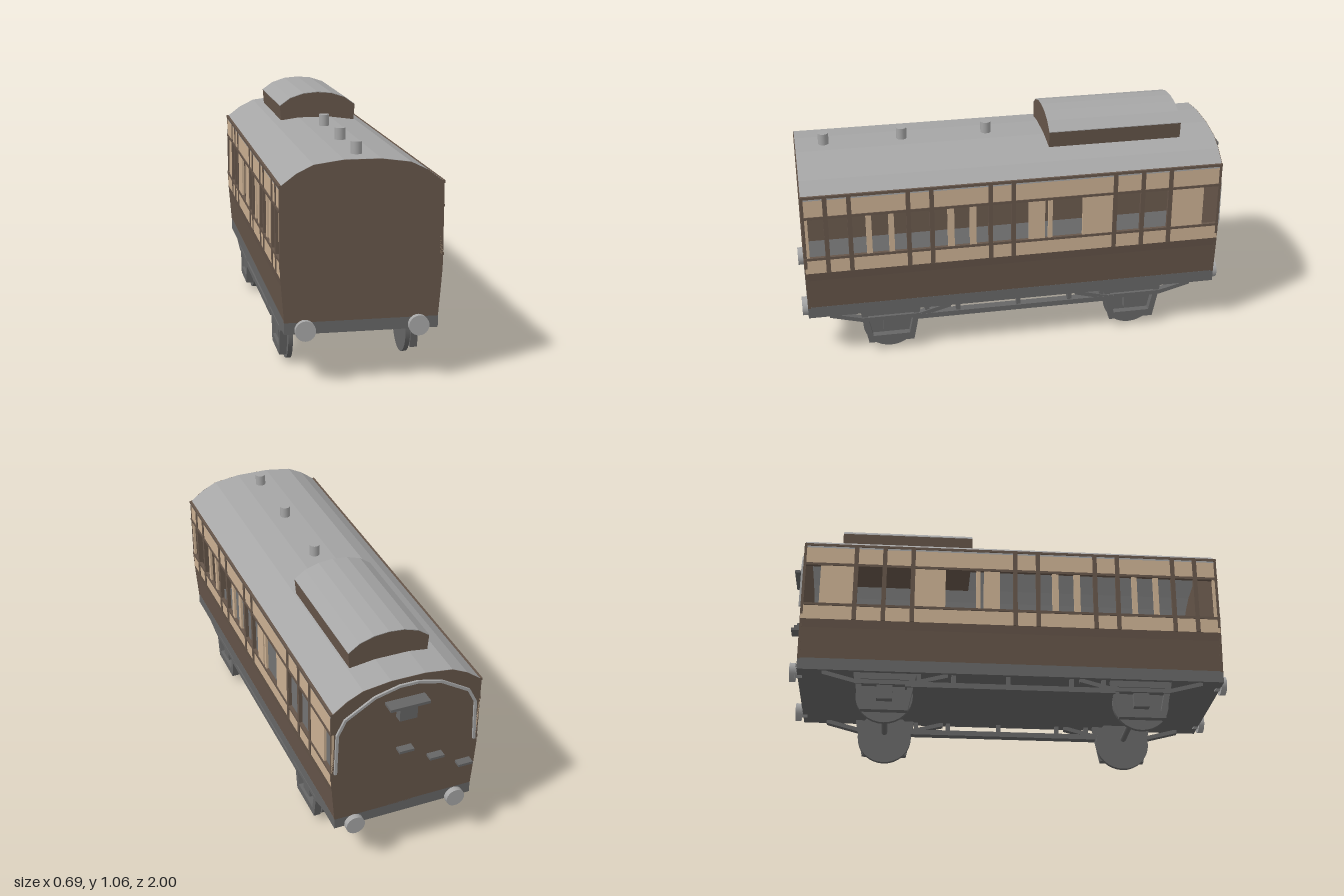
import * as THREE from 'three';

const mat = (name, color) => {
  const m = new THREE.MeshStandardMaterial({ color });
  m.name = name;
  return m;
};

export function createModel() {
  const brown = mat('brown panelling', 0x66564a);
  const cream = mat('cream panelling', 0xcbb092);
  const darkGrey = mat('dark grey underframe', 0x666666);
  const lightGrey = mat('light grey roof', 0xa6a6a6);
  const model = new THREE.Group();
  const FRONT = 0.975, BACK = -0.94, LENGTH = FRONT - BACK, MID = (FRONT + BACK) / 2;

  const add = (name, geometry, material, x = 0, y = 0, z = 0) => {
    const mesh = new THREE.Mesh(geometry, material);
    mesh.name = name;
    mesh.position.set(x, y, z);
    model.add(mesh);
    return mesh;
  };
  // Box given by its limits on each axis
  const block = (name, material, [x0, x1], [y0, y1], [z0, z1]) =>
    add(name, new THREE.BoxGeometry(Math.abs(x1 - x0), y1 - y0, Math.abs(z1 - z0)), material,
      (x0 + x1) / 2, (y0 + y1) / 2, (z0 + z1) / 2);
  const shapeOf = (points) => new THREE.Shape(points.map(([x, y]) => new THREE.Vector2(x, y)));
  const extrude = (shape, depth) => new THREE.ExtrudeGeometry(shape, { depth, bevelEnabled: false });
  // Same extrusion for shapes drawn as (z, y), centred on x
  const extrudeSide = (shape, depth) => extrude(shape, depth).translate(0, 0, -depth / 2).rotateY(-Math.PI / 2);
  // Strip following an open line, with a thickness downwards
  const strip = (points, t) => shapeOf([...points, ...points.map(([x, y]) => [x, y - t]).reverse()]);
  const flip = (points) => points.map(([x, y]) => [-x, y]).reverse();

  // Cross-sections, from left (+x) to right
  const halfRoof = [[0.34, 0.835], [0.27, 0.888], [0.2, 0.922], [0.077, 0.939]];
  const roofLine = [...halfRoof, ...flip(halfRoof)];
  const halfWall = [[0.323, 0.27], [0.335, 0.42], [0.34, 0.5]];
  const endOutline = [...halfWall, ...roofLine, ...flip(halfWall)];

  // End walls and roof
  const endShape = shapeOf(endOutline);
  add('frontEnd', extrude(endShape, 0.012), brown, 0, 0, FRONT - 0.012);
  add('backEnd', extrude(endShape, 0.012), brown, 0, 0, BACK);
  add('roof', extrude(strip(roofLine, 0.014), LENGTH - 0.004), lightGrey, 0, 0.001, BACK + 0.002);

  // Underframe, which is also the floor
  block('underframe', darkGrey, [-0.323, 0.323], [0.22, 0.275], [BACK, FRONT]);

  // Side walls
  const posts = [0.87, 0.765, 0.505, 0.4, 0.135, 0.03, -0.44, -0.57, -0.7];
  const panels = [[0.975, 0.95], [0.695, 0.67], [0.595, 0.57], [0.33, 0.3], [0.23, 0.2],
    [-0.04, -0.115], [-0.13, -0.15], [-0.29, -0.44], [-0.7, -0.86], [-0.93, -0.94]];
  for (const s of [1, -1]) {
    const wall = [s * 0.328, s * 0.339], trim = [s * 0.327, s * 0.343];
    const lower = [[0.322, 0.27], [0.334, 0.42], [0.339, 0.46], [0.328, 0.46], [0.312, 0.27]];
    add('lowerSide', extrude(shapeOf(lower.map(([x, y]) => [s * x, y])), LENGTH - 0.004), brown, 0, 0, BACK + 0.002);
    block('waistPanel', cream, wall, [0.46, 0.535], [BACK + 0.002, FRONT - 0.002]);
    block('upperPanel', cream, wall, [0.735, 0.832], [BACK + 0.002, FRONT - 0.002]);
    for (const [a, b] of panels) block('windowPanel', cream, wall, [0.535, 0.735], [a, b]);
    for (const y of [0.533, 0.737, 0.836]) block('sideRail', brown, trim, [y - 0.006, y + 0.006], [BACK, FRONT]);
    for (const z of posts) block('sidePost', brown, trim, [0.46, 0.835], [z - 0.01, z + 0.01]);
  }

  // Raised lookout on the roof
  const lookoutTop = [[0.198, 0.997], [0.148, 1.033], [0.083, 1.054], [0.015, 1.06],
    [-0.053, 1.054], [-0.118, 1.033], [-0.168, 0.997]];
  add('lookout', extrude(shapeOf([[0.19, 0.9], ...lookoutTop, [-0.16, 0.9]]), 0.615), brown, 0, 0, -0.775);
  add('lookoutRoof', extrude(strip(lookoutTop, 0.003), 0.615), lightGrey, 0, 0.003, -0.775);

  // Roof vents
  for (const z of [0.845, 0.49, 0.1])
    add('roofVent', new THREE.CylinderGeometry(0.024, 0.024, 0.064, 16), lightGrey, 0, 0.96, z);

  // Buffers
  for (const x of [-0.238, 0.238])
    for (const [head, stem] of [[0.987, 0.972], [-0.962, -0.94]]) {
      add('bufferHead', new THREE.CylinderGeometry(0.043, 0.043, 0.026, 24).rotateX(Math.PI / 2), lightGrey, x, 0.238, head);
      add('bufferStem', new THREE.CylinderGeometry(0.025, 0.025, 0.04, 12).rotateX(Math.PI / 2), lightGrey, x, 0.238, stem);
    }

  // Back end: shelf, bracket, steps and curved handrail
  block('backShelf', darkGrey, [-0.077, 0.103], [0.827, 0.84], [BACK, -1]);
  block('shelfBracket', darkGrey, [-0.03, 0.05], [0.75, 0.815], [BACK, -0.977]);
  [[0.01, 0.58], [-0.135, 0.5], [-0.275, 0.42]].forEach(([x, y]) =>
    block('backStep', darkGrey, [x - 0.034, x + 0.034], [y - 0.006, y + 0.006], [BACK, -0.977]));
  const halfRail = [[0.322, 0.53], [0.315, 0.73], [0.28, 0.8], [0.15, 0.88], [0.04, 0.908]];
  const rail = [...halfRail, ...flip(halfRail)];
  for (let i = 1; i < rail.length; i++) {
    const [ax, ay] = rail[i - 1], [bx, by] = rail[i];
    add('handrail', new THREE.BoxGeometry(Math.hypot(bx - ax, by - ay) + 0.004, 0.012, 0.012), lightGrey,
      (ax + bx) / 2, (ay + by) / 2, BACK - 0.004).rotation.z = Math.atan2(by - ay, bx - ax);
  }

  // Wheels, axles, axle guards and springs
  const guardShape = shapeOf([[-0.14, 0.22], [-0.105, 0.045], [0.105, 0.045], [0.14, 0.22]]);
  guardShape.holes.push(new THREE.Path([[-0.108, 0.19], [0.108, 0.19], [0.085, 0.08], [-0.085, 0.08]]
    .map(([x, y]) => new THREE.Vector2(x, y))));
  const spring = strip([[-0.28, 0.225], [-0.13, 0.185], [0.13, 0.185], [0.28, 0.225]], 0.02);
  for (const z of [0.6, -0.55]) {
    add('axle', new THREE.CylinderGeometry(0.014, 0.014, 0.426, 12).rotateZ(Math.PI / 2), darkGrey, 0, 0.138, z);
    for (const s of [1, -1]) {
      add('wheel', new THREE.CylinderGeometry(0.127, 0.127, 0.02, 32).rotateZ(Math.PI / 2), darkGrey, s * 0.258, 0.127, z);
      add('axleGuard', extrudeSide(guardShape, 0.032), darkGrey, s * 0.289, 0, z);
      add('spring', extrudeSide(spring, 0.03), darkGrey, s * 0.296, 0, z);
      block('axleBox', darkGrey, [s * 0.268, s * 0.3], [0.1, 0.18], [z - 0.035, z + 0.035]);
    }
  }

  // Footboards and their hangers
  for (const s of [1, -1]) {
    block('footboard', darkGrey, [s * 0.272, s * 0.312], [0.155, 0.18], [0.48, -0.46]);
    for (const z of [0.43, 0.285, 0, -0.245, -0.4])
      block('footboardHanger', darkGrey, [s * 0.28, s * 0.305], [0.175, 0.225], [z - 0.01, z + 0.01]);
  }
  return model;
}
